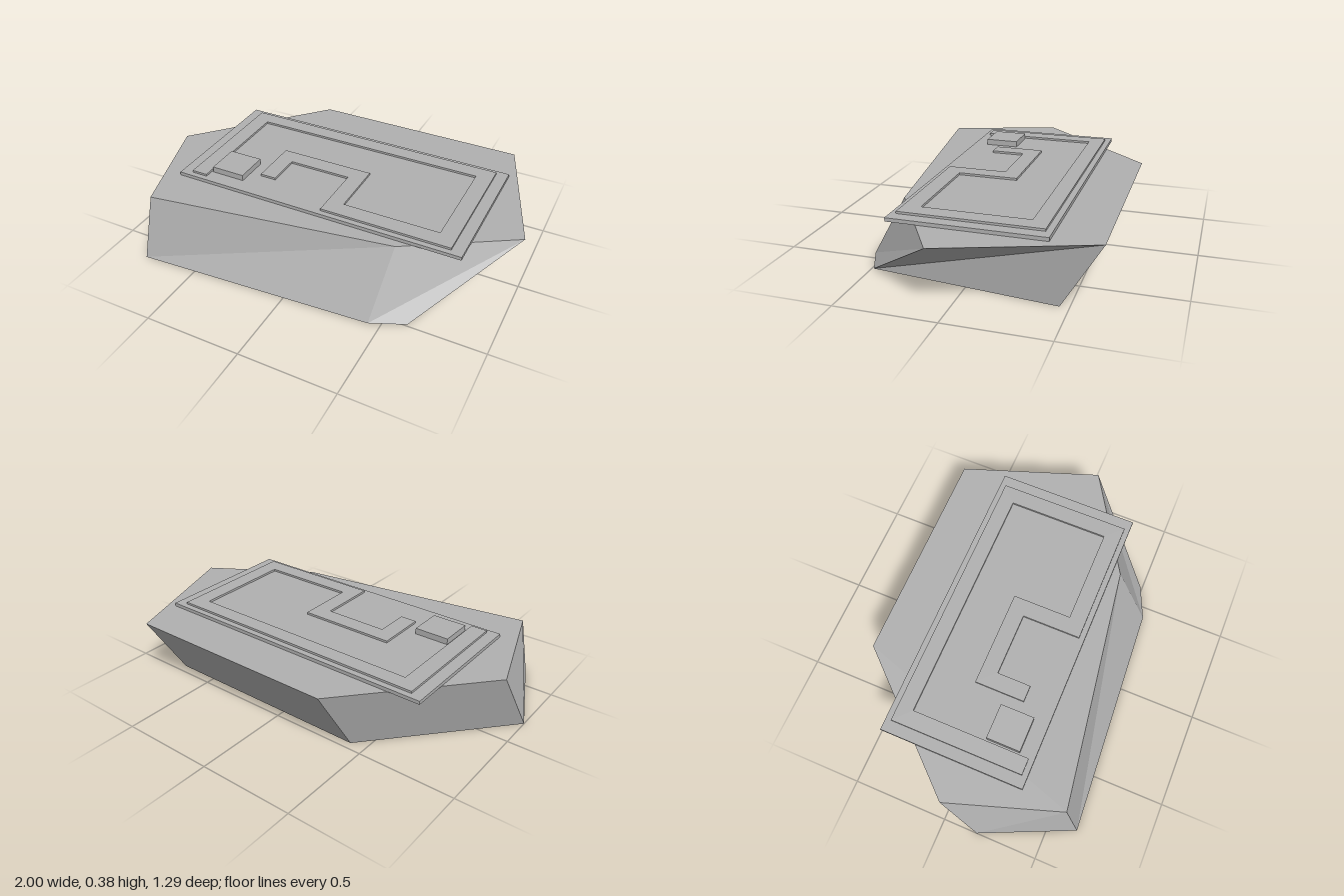
import * as THREE from 'three';

export function createModel() {
  const group = new THREE.Group();
  const stone = new THREE.MeshStandardMaterial({ color: 0xb0b0b0, flatShading: true });
  stone.name = 'grey stone';

  const add = (name, geometry) => {
    const mesh = new THREE.Mesh(geometry, stone);
    mesh.name = name;
    group.add(mesh);
    return mesh;
  };

  // Slab of rock: a lower and an upper outline [x, z], joined by slanted facets
  const low = [[-0.79, 0.645], [0.44, 0.565], [0.61, 0.49], [0.715, -0.455], [-0.42, -0.46], [-1, 0.18]];
  const high = [[-0.77, 0.56], [0.48, 0.37], [1, 0.05], [0.75, -0.65], [-0.38, -0.65], [-0.96, -0.01]];
  const n = low.length;
  const rockTop = 0.335;
  const positions = [
    ...low.flatMap(([x, z]) => [x, 0, z]),
    ...high.flatMap(([x, z]) => [x, rockTop, z]),
  ];
  const index = [];
  for (let i = 0; i < n; i++) {
    const j = (i + 1) % n;
    index.push(i, j, n + j, i, n + j, n + i);
    if (i > 0 && i < n - 1) index.push(n, n + i, n + i + 1, 0, i + 1, i);
  }
  const rock = new THREE.BufferGeometry();
  rock.setAttribute('position', new THREE.Float32BufferAttribute(positions, 3));
  rock.setIndex(index);
  const facets = rock.toNonIndexed();
  facets.computeVertexNormals();
  add('rock', facets);

  // Box given by its extents
  const box = (name, x0, x1, y0, y1, z0, z1) =>
    add(name, new THREE.BoxGeometry(x1 - x0, y1 - y0, z1 - z0))
      .position.set((x0 + x1) / 2, (y0 + y1) / 2, (z0 + z1) / 2);

  // Overhanging plate
  box('plate', -0.755, 0.785, rockTop, 0.353, -0.42, 0.328);

  // Raised angular band on the plate, outline as [x, z]
  const outline = [
    [-0.695, -0.39], [0.725, -0.39], [0.725, 0.3], [0.055, 0.3],
    [0.055, -0.005], [-0.275, -0.005], [-0.275, 0.17], [-0.36, 0.17],
    [-0.36, -0.09], [0.14, -0.09], [0.14, 0.215], [0.64, 0.215],
    [0.64, -0.31], [-0.61, -0.31], [-0.61, 0.3], [-0.695, 0.3],
  ];
  const shape = new THREE.Shape(outline.map(([x, z]) => new THREE.Vector2(x, -z)));
  const band = new THREE.ExtrudeGeometry(shape, { depth: 0.011, bevelEnabled: false });
  band.rotateX(-Math.PI / 2);
  add('raisedBand', band).position.y = 0.353;

  // Small block beside the end of the band
  box('block', -0.6, -0.42, 0.353, 0.384, 0.075, 0.25);

  return group;
}
